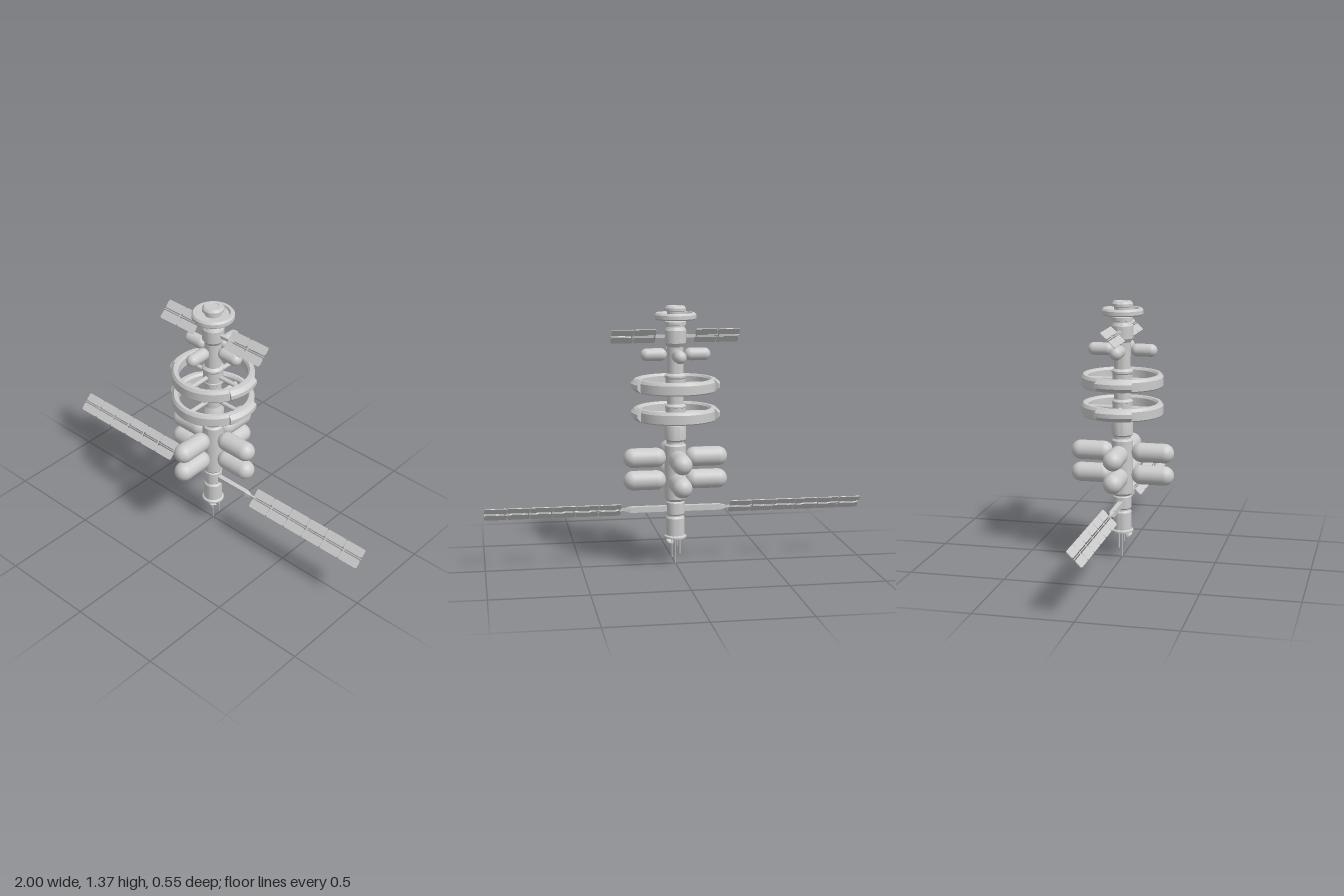
import * as THREE from 'three';
import { toCreasedNormals } from 'three/addons/utils/BufferGeometryUtils.js';

const material = new THREE.MeshStandardMaterial({ color: 0xcccccc });
const thinMaterial = new THREE.MeshStandardMaterial({ color: 0xcccccc, side: THREE.DoubleSide });

function add(parent, name, geometry, x = 0, y = 0, z = 0, mat = material) {
  const mesh = new THREE.Mesh(geometry, mat);
  mesh.name = name;
  mesh.position.set(x, y, z);
  parent.add(mesh);
  return mesh;
}

function subgroup(parent, name, x = 0, y = 0, z = 0) {
  const group = new THREE.Group();
  group.name = name;
  group.position.set(x, y, z);
  parent.add(group);
  return group;
}

const toPoints = (profile) => profile.map(([r, y]) => new THREE.Vector2(r, y));

// Turned part with crisp edges; profile runs upward on its outside
function turned(profile, segments = 40, start = 0, sweep = Math.PI * 2) {
  return toCreasedNormals(new THREE.LatheGeometry(toPoints(profile), segments, start, sweep), 0.45);
}

// One panel plate with clipped corners, lying in XY
function plateGeometry(w, h, c = 0.006, t = 0.004) {
  const a = w / 2, b = h / 2;
  const shape = new THREE.Shape(toPoints([
    [-a + c, -b], [a - c, -b], [a, -b + c], [a, b - c],
    [a - c, b], [-a + c, b], [-a, b - c], [-a, -b + c],
  ]));
  return new THREE.ExtrudeGeometry(shape, { depth: t, bevelEnabled: false }).translate(0, 0, -t / 2);
}

// Pair of tilted solar wings, two rows of plates along a thin mast
function solarWings(parent, name, y, inner, outer, count, mastStart) {
  const wings = subgroup(parent, name, 0, y);
  wings.rotation.x = -Math.PI / 4;
  const step = (outer - inner) / count;
  const plate = plateGeometry(step - 0.003, 0.045);
  for (const side of [-1, 1]) {
    const length = outer - mastStart;
    add(wings, 'wingMast', new THREE.BoxGeometry(length, 0.004, 0.004), side * (mastStart + length / 2));
    for (let i = 0; i < count; i++) {
      const x = side * (inner + step * (i + 0.5));
      for (const row of [-1, 1]) add(wings, 'solarPlate', plate, x, row * 0.03);
      add(wings, 'plateBracket', new THREE.BoxGeometry(0.005, 0.024, 0.004), x - side * step * 0.42);
    }
  }
}

// Four capsule tanks in a cross around the core
function tankCross(parent, y, radius, inner, outer) {
  const cross = subgroup(parent, 'tankCross', 0, y);
  const tank = new THREE.CapsuleGeometry(radius, outer - inner - 2 * radius, 10, 28).rotateZ(Math.PI / 2);
  for (let i = 0; i < 4; i++) {
    const arm = subgroup(cross, 'tankArm');
    arm.rotation.y = i * Math.PI / 2;
    add(arm, 'tank', tank, (inner + outer) / 2);
  }
}

// Wheel with spokes and two bulging side modules
function habitatRing(parent, y) {
  const ring = subgroup(parent, 'habitatRing', 0, y);
  add(ring, 'ringBody', turned([
    [0.185, -0.033], [0.207, -0.033], [0.213, -0.027], [0.213, 0.018], [0.203, 0.033],
    [0.187, 0.033], [0.178, 0.022], [0.178, -0.024], [0.185, -0.033],
  ], 64));
  for (let i = 0; i < 4; i++) {
    const arm = subgroup(ring, 'spokeArm');
    arm.rotation.y = i * Math.PI / 2;
    add(arm, 'spoke', new THREE.CylinderGeometry(0.012, 0.012, 0.15, 12).rotateZ(Math.PI / 2), 0.11);
  }
  const profile = [[0.2, -0.03], [0.212, -0.03], [0.232, -0.011], [0.232, 0.011], [0.212, 0.03], [0.2, 0.03]];
  const half = 0.43;
  for (const side of [-1, 1]) {
    const middle = side * Math.PI / 2;
    add(ring, 'sideModule', turned([...profile, profile[0]], 14, middle - half, 2 * half));
    for (const end of [-half, half]) {
      const cap = new THREE.ShapeGeometry(new THREE.Shape(toPoints(profile)));
      add(ring, 'moduleEnd', cap.rotateY(middle + end - Math.PI / 2), 0, 0, 0, thinMaterial);
    }
  }
}

export function createModel() {
  const model = new THREE.Group();
  model.name = 'spaceStation';

  // Central stack of modules
  add(model, 'lowerCore', turned([
    [0, 0.152], [0.045, 0.152], [0.05, 0.143], [0.058, 0.143], [0.058, 0.152], [0.049, 0.158],
    [0.049, 0.25], [0.041, 0.26], [0.041, 0.267], [0.048, 0.274], [0.048, 0.334], [0.042, 0.341],
    [0.048, 0.345], [0.056, 0.355], [0.056, 0.638], [0.046, 0.648], [0.046, 0.66], [0.056, 0.67],
    [0.056, 0.742], [0.042, 0.772], [0.042, 0.8],
  ]));
  add(model, 'ringHub', turned([
    [0.042, 0.77], [0.052, 0.778], [0.052, 0.838], [0.055, 0.84], [0.055, 0.847], [0.043, 0.858],
    [0.043, 0.908], [0.055, 0.918], [0.055, 0.928], [0.052, 0.93], [0.052, 0.99], [0.056, 0.996],
    [0.056, 1.006], [0.043, 1.018],
  ]));
  add(model, 'upperCore', turned([
    [0.043, 1.01], [0.043, 1.155], [0.056, 1.175], [0.056, 1.24], [0.046, 1.258], [0.046, 1.266],
    [0.055, 1.268], [0.055, 1.284], [0.045, 1.29], [0.045, 1.3],
  ]));
  // Docking head: rimmed disc and round cap
  add(model, 'dockingDisc', turned([
    [0.04, 1.305], [0.082, 1.305], [0.086, 1.295], [0.102, 1.295], [0.108, 1.301], [0.108, 1.32],
    [0.1, 1.33], [0.086, 1.33], [0.08, 1.318], [0.04, 1.318],
  ], 48));
  add(model, 'dockingCap', turned([
    [0.042, 1.31], [0.042, 1.336], [0.055, 1.34], [0.055, 1.354], [0.046, 1.365],
    [0.03, 1.365], [0.028, 1.362], [0, 1.362],
  ]));

  // Tanks
  tankCross(model, 0.455, 0.051, 0.05, 0.275);
  tankCross(model, 0.575, 0.051, 0.05, 0.275);
  tankCross(model, 1.115, 0.033, 0.045, 0.183);

  // Rotating wheels
  habitatRing(model, 0.808);
  habitatRing(model, 0.958);

  // Solar arrays and their booms
  solarWings(model, 'lowerSolarWings', 0.3, 0.287, 1, 6, 0.23);
  solarWings(model, 'upperSolarWings', 1.21, 0.1, 0.335, 2, 0.04);
  for (const side of [-1, 1]) {
    add(model, 'lowerBoom', new THREE.BoxGeometry(0.2, 0.03, 0.026), side * 0.14, 0.3);
    const taper = toCreasedNormals(new THREE.CylinderGeometry(0.009, 0.02, 0.03, 4, 1, false, Math.PI / 4), 0.4);
    const cone = add(model, 'boomTaper', taper, side * 0.255, 0.3);
    cone.rotation.z = -side * Math.PI / 2;
    add(model, 'boomTip', new THREE.BoxGeometry(0.035, 0.011, 0.011), side * 0.28, 0.3);
    add(model, 'upperBoom', new THREE.BoxGeometry(0.06, 0.016, 0.016), side * 0.075, 1.21);
  }

  // Antenna rods below the base
  for (const [x, z, bottom, r] of [[0, 0, 0, 0.002], [-0.022, -0.012, 0.055, 0.003],
    [0.022, -0.025, 0.04, 0.003], [-0.014, 0.014, 0.09, 0.002]]) {
    const length = 0.155 - bottom;
    add(model, 'antennaRod', new THREE.CylinderGeometry(r, r, length, 8), x, bottom + length / 2, z);
  }
  // Small tilted dish on a stalk
  add(model, 'dishStalk', new THREE.CylinderGeometry(0.003, 0.003, 0.035, 8), 0.02, 0.139, 0.022);
  const dish = subgroup(model, 'dish', 0.02, 0.125, 0.024);
  dish.rotation.set(-0.5, 0, 0.4);
  add(dish, 'dishBowl', new THREE.LatheGeometry(
    toPoints([[0.022, -0.01], [0.017, -0.004], [0.009, 0], [0, 0.001]]), 24), 0, 0, 0, thinMaterial);
  add(dish, 'dishFeed', new THREE.CylinderGeometry(0.0015, 0.0015, 0.03, 6), 0, -0.015);

  return model;
}
